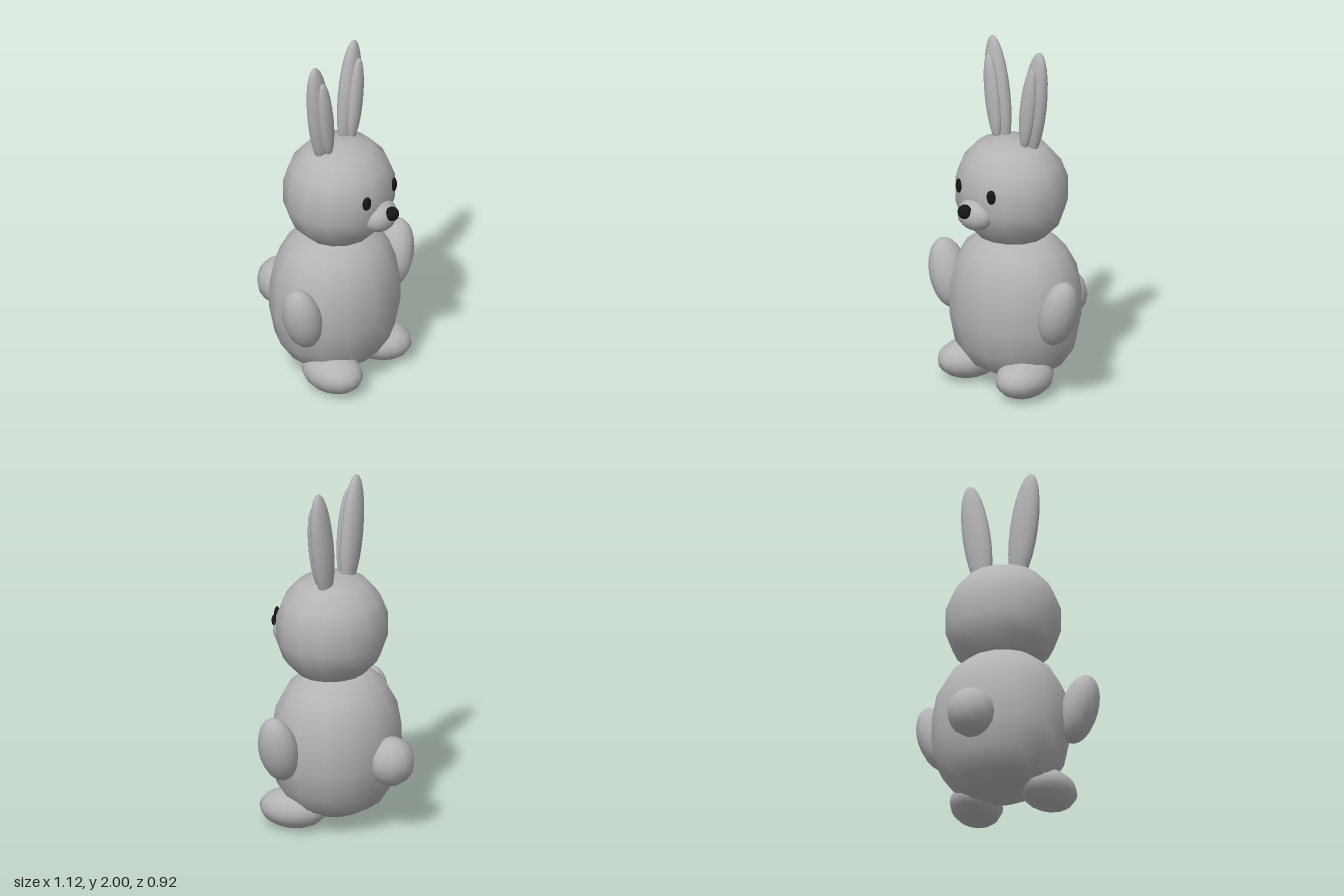
import * as THREE from 'three';

const fur = new THREE.MeshStandardMaterial({ color: 0xb4b4b4 });
fur.name = 'greyFur';
const black = new THREE.MeshStandardMaterial({ color: 0x161616 });
black.name = 'blackFeatures';

// Rounded 14-sided volume from a bottom-to-top profile, flattened in depth.
function turned(name, profile, depth, z) {
  const points = profile.map(([r, y]) => new THREE.Vector2(r, y));
  const geometry = new THREE.LatheGeometry(points, 14, Math.PI / 14);
  geometry.scale(1, 1, depth);
  const mesh = new THREE.Mesh(geometry, fur);
  mesh.name = name;
  mesh.position.z = z;
  return mesh;
}

// Ellipsoid with half-sizes, position and rotation.
function blob(name, half, position, rotation = [0, 0, 0], material = fur, around = 14, rings = 12) {
  const geometry = new THREE.SphereGeometry(1, around, rings);
  geometry.scale(...half);
  const mesh = new THREE.Mesh(geometry, material);
  mesh.name = name;
  mesh.position.set(...position);
  mesh.rotation.set(...rotation);
  return mesh;
}

export function createModel() {
  const model = new THREE.Group();
  model.name = 'rabbit';

  model.add(turned('body', [
    [0, 0.052], [0.16, 0.07], [0.28, 0.13], [0.36, 0.24], [0.394, 0.4],
    [0.392, 0.55], [0.365, 0.69], [0.3, 0.8], [0.2, 0.88], [0, 0.92],
  ], 0.89, 0.032));

  model.add(turned('head', [
    [0, 0.85], [0.2, 0.885], [0.285, 0.97], [0.326, 1.08], [0.326, 1.22],
    [0.285, 1.32], [0.2, 1.412], [0.09, 1.443], [0, 1.446],
  ], 0.935, 0.062));

  // Face and tail
  model.add(blob('muzzle', [0.116, 0.09, 0.09], [0, 1.065, 0.338]));
  model.add(blob('nose', [0.041, 0.041, 0.041], [0, 1.102, 0.421], [0, 0, 0], black, 10, 8));
  model.add(blob('tail', [0.138, 0.14, 0.134], [0, 0.425, -0.335], [0, 0, 0], fur, 10, 8));

  // Mirrored pairs
  for (const [side, s] of [['left', 1], ['right', -1]]) {
    model.add(blob(side + 'Ear', [0.084, 0.33, 0.053], [s * 0.147, 1.673, 0.027], [0, 0, s * -0.14]));
    model.add(blob(side + 'InnerEar', [0.053, 0.25, 0.036], [s * 0.143, 1.66, 0.073], [0, 0, s * -0.14]));
    model.add(blob(side + 'Eye', [0.028, 0.042, 0.015], [s * 0.132, 1.202, 0.343], [0, s * 0.42, 0], black, 10, 8));
    model.add(blob(side + 'Arm', [0.103, 0.203, 0.114], [s * 0.445, 0.54, 0.122], [0, 0, s * -0.29]));
    model.add(blob(side + 'Foot', [0.146, 0.112, 0.194], [s * 0.222, 0.112, 0.172], [0, s * 0.2, 0]));
  }
  return model;
}
